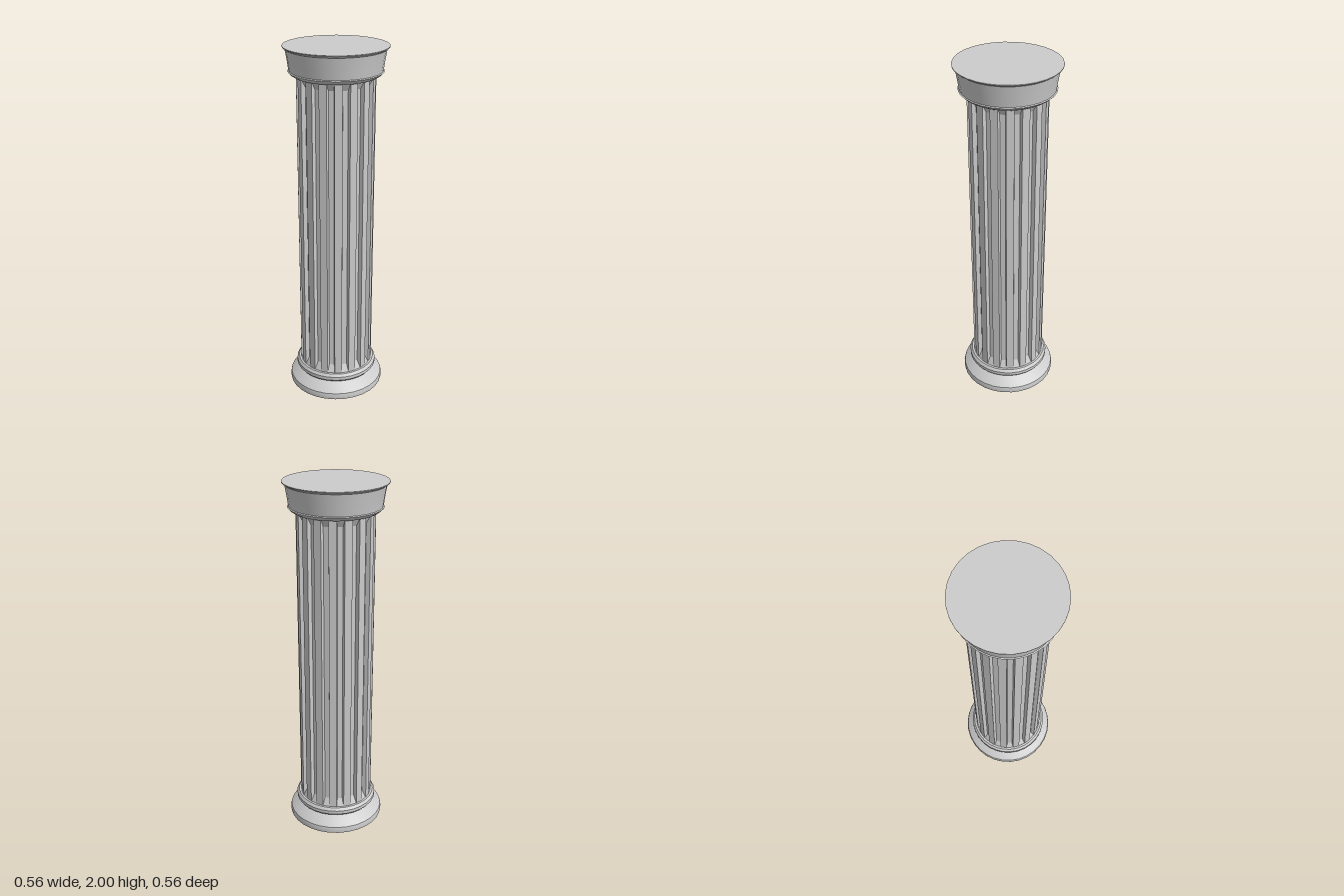
import * as THREE from 'three';
import { toCreasedNormals } from 'three/addons/utils/BufferGeometryUtils.js';

const stone = new THREE.MeshStandardMaterial({ color: 0xcccccc });
const facetedStone = new THREE.MeshStandardMaterial({ color: 0xcccccc, flatShading: true });

// Turned part from a [radius, height] profile, bottom to top
function turned(name, profile) {
  const points = profile.map(([r, y]) => new THREE.Vector2(r, y));
  const geometry = new THREE.LatheGeometry(points, 30, Math.PI / 2);
  const mesh = new THREE.Mesh(toCreasedNormals(geometry, 0.5), stone);
  mesh.name = name;
  return mesh;
}

// Shaft with flat ridges and inset flutes that ramp out at both ends
function flutedShaft() {
  const flutes = 16, columns = flutes * 4;
  const step = (Math.PI * 2) / flutes;
  const outer = 0.21, inner = 0.187;
  const rows = [1.848, 1.805, 0.185, 0.138];
  const endAngles = [-0.25, 0.25, 0.25, 0.75]; // flute corners meet the ridge edges
  const midAngles = [-0.25, 0.25, 0.31, 0.69]; // flute floor is narrower

  const geometry = new THREE.CylinderGeometry(1, 1, 1, columns, 3, true);
  const position = geometry.attributes.position;
  for (let i = 0; i < position.count; i++) {
    const row = Math.floor(i / (columns + 1));
    const column = i % (columns + 1);
    const corner = column % 4;
    const atEnd = row === 0 || row === 3;
    const offset = (atEnd ? endAngles : midAngles)[corner];
    const angle = (Math.floor(column / 4) + offset) * step;
    const r = !atEnd && corner > 1 ? inner : outer;
    position.setXYZ(i, Math.sin(angle) * r, rows[row], Math.cos(angle) * r);
  }
  const flat = geometry.toNonIndexed();
  flat.computeVertexNormals();
  const mesh = new THREE.Mesh(flat, facetedStone);
  mesh.name = 'flutedShaft';
  return mesh;
}

export function createModel() {
  const column = new THREE.Group();
  column.name = 'column';

  // Base: wide foot, narrow neck and a raised ring
  column.add(turned('base', [
    [0, 0], [0.272, 0], [0.274, 0.018], [0.27, 0.036], [0.24, 0.06], [0.205, 0.083],
    [0.225, 0.094], [0.234, 0.105], [0.234, 0.125], [0.222, 0.14], [0, 0.14],
  ]));

  column.add(flutedShaft());

  // Capital: lower moulding, flared drum and a thin lip
  column.add(turned('capital', [
    [0, 1.845], [0.225, 1.845], [0.24, 1.855], [0.253, 1.868], [0.247, 1.872],
    [0.255, 1.93], [0.265, 1.985], [0.28, 1.996], [0.28, 2], [0, 2],
  ]));

  return column;
}
